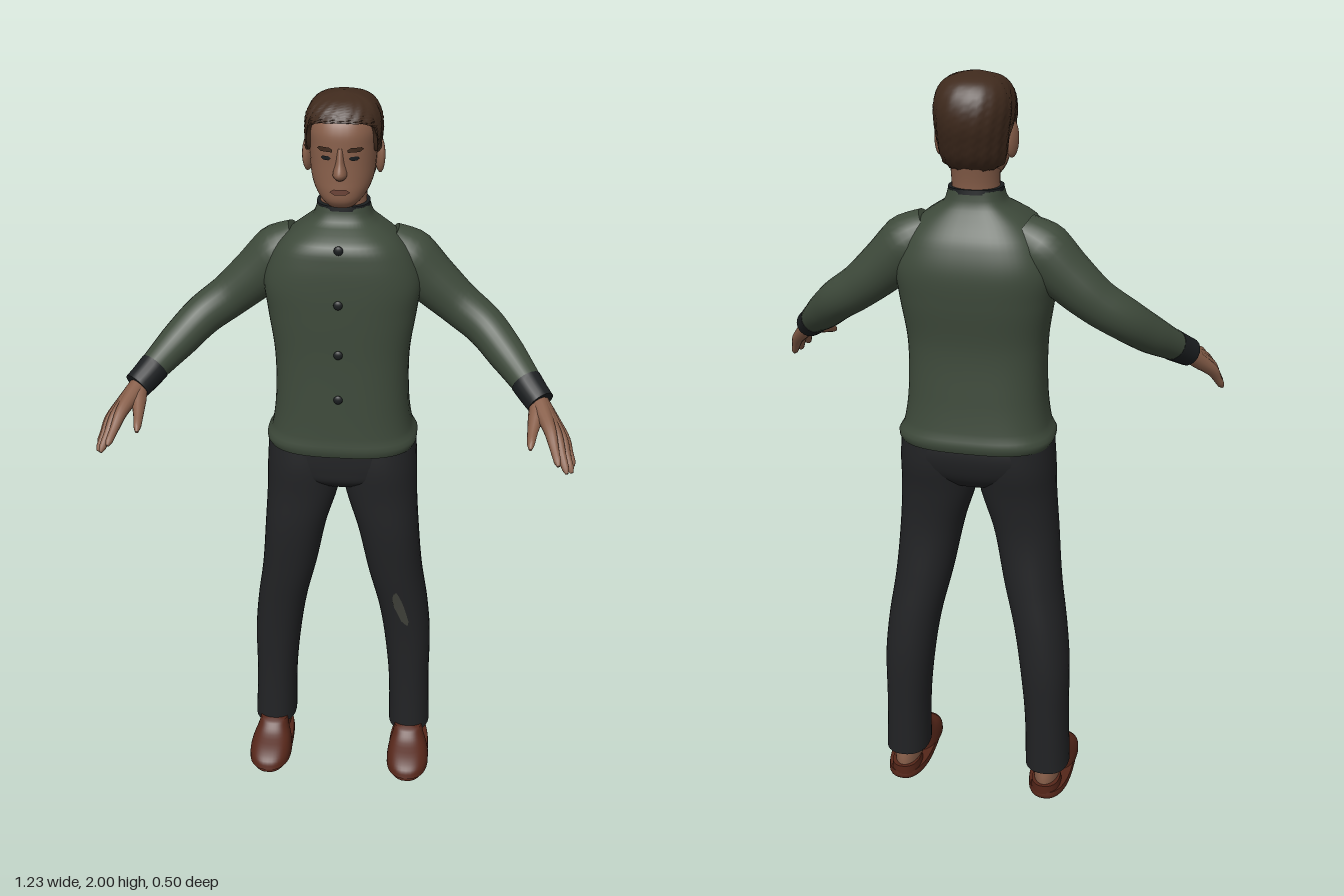
import * as THREE from 'three';
import { toCreasedNormals } from 'three/addons/utils/BufferGeometryUtils.js';

const { PI, sin, cos, abs, sign, pow, max, min } = Math;
const paint = (name, color) => new THREE.MeshStandardMaterial({ name, color });

// Grid surface from a rule fn(i, j) -> [x, y, z]
function grid(rows, cols, fn) {
  const pos = [], idx = [];
  for (let i = 0; i <= rows; i++) for (let j = 0; j <= cols; j++) pos.push(...fn(i, j));
  for (let i = 0; i < rows; i++) for (let j = 0; j < cols; j++) {
    const a = i * (cols + 1) + j, b = a + cols + 1;
    idx.push(a, a + 1, b + 1, a, b + 1, b);
  }
  const g = new THREE.BufferGeometry();
  g.setAttribute('position', new THREE.Float32BufferAttribute(pos, 3));
  g.setIndex(idx);
  return g;
}

// Smooth lookup in a profile; each row is [y, centreX, halfWidth, frontZ, backZ]
function section(P, y) {
  let k = 0;
  while (k < P.length - 2 && y > P[k + 1][0]) k++;
  const a = P[k], b = P[k + 1], p = P[k - 1] || a, q = P[k + 2] || b, h = b[0] - a[0];
  const t = min(1, max(0, (y - a[0]) / h)), t2 = t * t, t3 = t2 * t;
  return [1, 2, 3, 4].map(c => {
    const ma = (b[c] - p[c]) / (b[0] - p[0]) * h, mb = (q[c] - a[c]) / (q[0] - a[0]) * h;
    return (2 * t3 - 3 * t2 + 1) * a[c] + (t3 - 2 * t2 + t) * ma + (3 * t2 - 2 * t3) * b[c] + (t3 - t2) * mb;
  });
}

// Point on a profile body at height y and angle a (0 = front, +x next)
function surf(P, y, a, off = 0, n = 2.3, scale = 1) {
  const [cx, rx, zf, zb] = section(P, y);
  const e = v => sign(v) * pow(abs(v), 2 / n);
  return [cx + scale * (max(rx, 0) + off) * e(sin(a)), y,
    (zf + zb) / 2 + scale * (max((zf - zb) / 2, 0) + off) * e(cos(a))];
}

// Closed body with capped ends
function loft(P, n = 2.3, rows = 28, cols = 40) {
  const y0 = P[0][0], y1 = P[P.length - 1][0];
  return grid(rows + 2, cols, (i, j) => {
    const t = min(1, max(0, (i - 1) / rows));
    return surf(P, y0 + (y1 - y0) * t, -PI + 2 * PI * (j / cols), 0, n, i === 0 || i === rows + 2 ? 0 : 1);
  });
}

// Thin painted patch lying on a body; rows are [y, angleFrom, angleTo]
const patch = (P, rows, off = 0.003, n = 2.3, cols = 8) => grid(rows.length - 1, cols, (i, j) =>
  surf(P, rows[i][0], rows[i][1] + (rows[i][2] - rows[i][1]) * j / cols, off, n));

// Tapered tube through [x, y, z, radius] points
function limb(pts, rows = 20, cols = 18) {
  const curve = new THREE.CatmullRomCurve3(pts.map(p => new THREE.Vector3(p[0], p[1], p[2])));
  const f = curve.computeFrenetFrames(rows, false);
  return grid(rows + 2, cols, (i, j) => {
    const k = min(rows, max(0, i - 1)), u = k / rows, a = 2 * PI * j / cols;
    const t = curve.getUtoTmapping(u) * (pts.length - 1), s = min(pts.length - 2, Math.floor(t));
    const r = i === 0 || i === rows + 2 ? 0 : pts[s][3] + (pts[s + 1][3] - pts[s][3]) * (t - s);
    return curve.getPointAt(u).addScaledVector(f.normals[k], r * cos(a))
      .addScaledVector(f.binormals[k], r * sin(a)).toArray();
  });
}

function mirrored(geo) {
  const g = geo.clone().scale(-1, 1, 1);
  g.setIndex(Array.from(geo.index.array).reverse());
  return g;
}

export function createModel() {
  const model = new THREE.Group();
  const jacket = paint('jacket green', 0x3e4a3b), dark = paint('trim black', 0x1b1e20);
  const cloth = paint('trouser charcoal', 0x222325), skin = paint('skin', 0x885f4a);
  const hair = paint('hair brown', 0x3f2a1d), leather = paint('shoe leather', 0x552619);
  const patchGrey = paint('patch grey', 0x41423b), lip = paint('lip', 0x6b4236);

  const add = (name, geo, mat) => {
    const g = toCreasedNormals(geo.clone().scale(100, 100, 100), 0.95).scale(0.01, 0.01, 0.01);
    const m = new THREE.Mesh(g, mat);
    m.name = name;
    model.add(m);
  };
  const pair = (name, geo, mat) => {
    add('left ' + name, geo, mat);
    add('right ' + name, mirrored(geo), mat);
  };

  // Jacket body with stand collar
  const body = [
    [1.062, 0, 0.197, 0.03, -0.243], [1.08, 0, 0.205, 0.036, -0.25], [1.11, 0, 0.19, 0.033, -0.243],
    [1.2, 0, 0.178, 0.03, -0.235], [1.33, 0, 0.178, 0.028, -0.232], [1.45, 0, 0.195, 0.03, -0.248],
    [1.53, 0, 0.203, 0.03, -0.252], [1.6, 0, 0.178, 0.026, -0.236], [1.645, 0, 0.142, 0.015, -0.212],
    [1.675, 0, 0.1, -0.025, -0.197], [1.69, 0, 0.078, -0.05, -0.191], [1.722, 0, 0.066, -0.058, -0.187]];
  add('jacket', loft(body, 2.8, 60, 56), jacket);
  add('collar trim', loft([[1.715, 0, 0.068, -0.056, -0.189], [1.727, 0, 0.067, -0.057, -0.188]], 2.5, 2), dark);
  for (const y of [1.64, 1.5, 1.362, 1.235])
    add('button', new THREE.SphereGeometry(0.012, 14, 10).scale(1, 1, 0.5)
      .translate(...surf(body, y, 0, 0.002, 2.8)), dark);

  // Sleeves and cuffs
  pair('sleeve', limb([[0.11, 1.61, -0.13, 0.06], [0.165, 1.575, -0.133, 0.077], [0.225, 1.52, -0.132, 0.068],
    [0.3, 1.455, -0.125, 0.058], [0.37, 1.405, -0.1, 0.054], [0.43, 1.352, -0.045, 0.049],
    [0.495, 1.295, 0.035, 0.037]], 30, 24), jacket);
  pair('cuff', limb([[0.482, 1.306, 0.02, 0.041], [0.5, 1.289, 0.045, 0.039], [0.52, 1.272, 0.07, 0.037]], 6), dark);

  // Hands: each finger runs on from the wrist through its knuckle
  const wrist = [0.51, 1.28, 0.055];
  const fingers = [
    ['index finger', [0.543, 1.24, 0.163], [0.565, 1.185, 0.243]],
    ['middle finger', [0.56, 1.225, 0.16], [0.588, 1.158, 0.23]],
    ['ring finger', [0.574, 1.212, 0.15], [0.602, 1.146, 0.203]],
    ['little finger', [0.582, 1.202, 0.133], [0.608, 1.146, 0.168]]];
  fingers.forEach(([name, k, tip], n) => {
    const mix = (a, b, t, r) => [0, 1, 2].map(c => a[c] + (b[c] - a[c]) * t).concat(r);
    pair(name, limb([[...wrist, 0.024], mix(wrist, k, 0.5, 0.021), [...k, 0.016],
      mix(k, tip, 0.5, 0.0115), mix(k, tip, 0.9, 0.009), [...tip, 0.004]], 18, 12), skin);
  });
  pair('thumb', limb([[0.512, 1.275, 0.065, 0.02], [0.507, 1.25, 0.115, 0.019], [0.5, 1.232, 0.16, 0.013],
    [0.496, 1.218, 0.195, 0.01], [0.495, 1.21, 0.21, 0.004]], 14, 12), skin);

  // Trousers
  const leg = [
    [0.085, 0.205, 0.061, -0.043, -0.2], [0.25, 0.2, 0.06, -0.045, -0.205], [0.4, 0.192, 0.067, -0.04, -0.21],
    [0.52, 0.177, 0.071, -0.03, -0.205], [0.65, 0.152, 0.077, -0.013, -0.195], [0.8, 0.13, 0.086, 0.003, -0.187],
    [0.92, 0.108, 0.1, 0.005, -0.2], [1, 0.103, 0.103, 0.008, -0.217], [1.09, 0.1, 0.1, 0, -0.22]];
  pair('trouser leg', loft(leg, 2.3, 40, 36), cloth);
  add('trouser seat', loft([[0.945, 0, 0.09, -0.02, -0.185], [0.97, 0, 0.16, 0.004, -0.208],
    [1, 0, 0.198, 0.009, -0.222], [1.04, 0, 0.2, 0.01, -0.23], [1.1, 0, 0.175, 0.008, -0.225]], 2.6), cloth);
  add('knee patch', patch(leg, [[0.485, 0.1, 0.16], [0.5, -0.02, 0.2], [0.53, -0.1, 0.16], [0.55, -0.17, 0.14],
    [0.575, -0.17, 0.1], [0.592, -0.12, 0.06], [0.605, -0.04, 0.02]]), patchGrey);

  // Slip-on shoes with a bare ankle at the back
  pair('shoe sole', loft([[0, 0.208, 0.055, 0.085, -0.198], [0.008, 0.208, 0.06, 0.093, -0.205],
    [0.024, 0.208, 0.058, 0.09, -0.203]], 2.5, 5), leather);
  pair('shoe upper', loft([[0.018, 0.208, 0.062, 0.096, -0.095], [0.04, 0.208, 0.061, 0.086, -0.09],
    [0.06, 0.207, 0.055, 0.055, -0.088], [0.08, 0.206, 0.046, 0.005, -0.092], [0.105, 0.205, 0.04, -0.025, -0.1]], 2.4, 16), leather);
  pair('shoe heel strap', loft([[0.018, 0.206, 0.042, -0.08, -0.204], [0.045, 0.206, 0.039, -0.09, -0.204]], 2.3, 4), leather);
  pair('ankle', loft([[0.02, 0.205, 0.034, -0.06, -0.192], [0.06, 0.205, 0.036, -0.06, -0.195],
    [0.15, 0.205, 0.036, -0.08, -0.18]], 2, 8), skin);

  // Head and neck
  const head = [
    [1.733, 0, 0.032, -0.033, -0.09], [1.75, 0, 0.052, -0.02, -0.14], [1.775, 0, 0.069, -0.017, -0.18],
    [1.8, 0, 0.078, -0.018, -0.203], [1.84, 0, 0.083, -0.019, -0.222], [1.88, 0, 0.086, -0.019, -0.236],
    [1.92, 0, 0.088, -0.022, -0.236], [1.955, 0, 0.077, -0.04, -0.22], [1.977, 0, 0.05, -0.075, -0.188],
    [1.988, 0, 0, -0.13, -0.131]];
  add('head', loft(head, 2.3, 40, 40), skin);
  add('neck', loft([[1.68, 0, 0.062, -0.06, -0.183], [1.73, 0, 0.059, -0.066, -0.183],
    [1.81, 0, 0.062, -0.07, -0.2]], 2.1, 10), skin);
  pair('ear', new THREE.SphereGeometry(1, 16, 12).scale(0.012, 0.045, 0.024).rotateY(0.35)
    .translate(0.09, 1.842, -0.128), skin);
  add('nose', loft([[1.808, 0, 0.012, -0.008, -0.05], [1.82, 0, 0.018, 0.006, -0.05],
    [1.85, 0, 0.011, -0.005, -0.05], [1.885, 0, 0.008, -0.016, -0.05]], 2, 14, 20), skin);
  pair('eyebrow', patch(head, [[1.877, 0.17, 0.5], [1.883, 0.16, 0.62], [1.888, 0.25, 0.55]], 0.005), hair);
  pair('eye', patch(head, [[1.856, 0.28, 0.44], [1.861, 0.2, 0.52], [1.866, 0.26, 0.46]]), dark);
  add('mouth', patch(head, [[1.771, -0.15, 0.15], [1.778, -0.3, 0.3], [1.785, -0.15, 0.15]], 0.004), lip);

  // Short hair: hairline height by angle, rising to the crown with small tufts
  const line = [[0, 1.945], [0.55, 1.942], [0.95, 1.93], [1.15, 1.865], [1.35, 1.86], [1.5, 1.885],
    [1.8, 1.87], [1.95, 1.79], [2.4, 1.775], [PI, 1.77]];
  const hairline = a => {
    const k = max(1, line.findIndex(p => p[0] >= a - 1e-6)), [a0, y0] = line[k - 1], [a1, y1] = line[k];
    return y0 + (y1 - y0) * min(1, (a - a0) / (a1 - a0));
  };
  add('hair', grid(30, 72, (i, j) => {
    const a = -PI + 2 * PI * (j / 72), t = sin(max(0, i - 1) / 29 * PI / 2), low = hairline(min(PI, abs(a)));
    const tuft = 0.0025 * sin(j * 2 * PI / 72 * 18 + i * 1.3) * sin(i * 1.7) * (1 - t * t);
    const off = i === 0 ? -0.004 : (0.009 + tuft) * min(1, (1 - t) * 30);
    const p = surf(head, low + (1.988 - low) * t, a, off);
    p[1] += 0.012 * t * t;
    return p;
  }), hair);

  return model;
}
